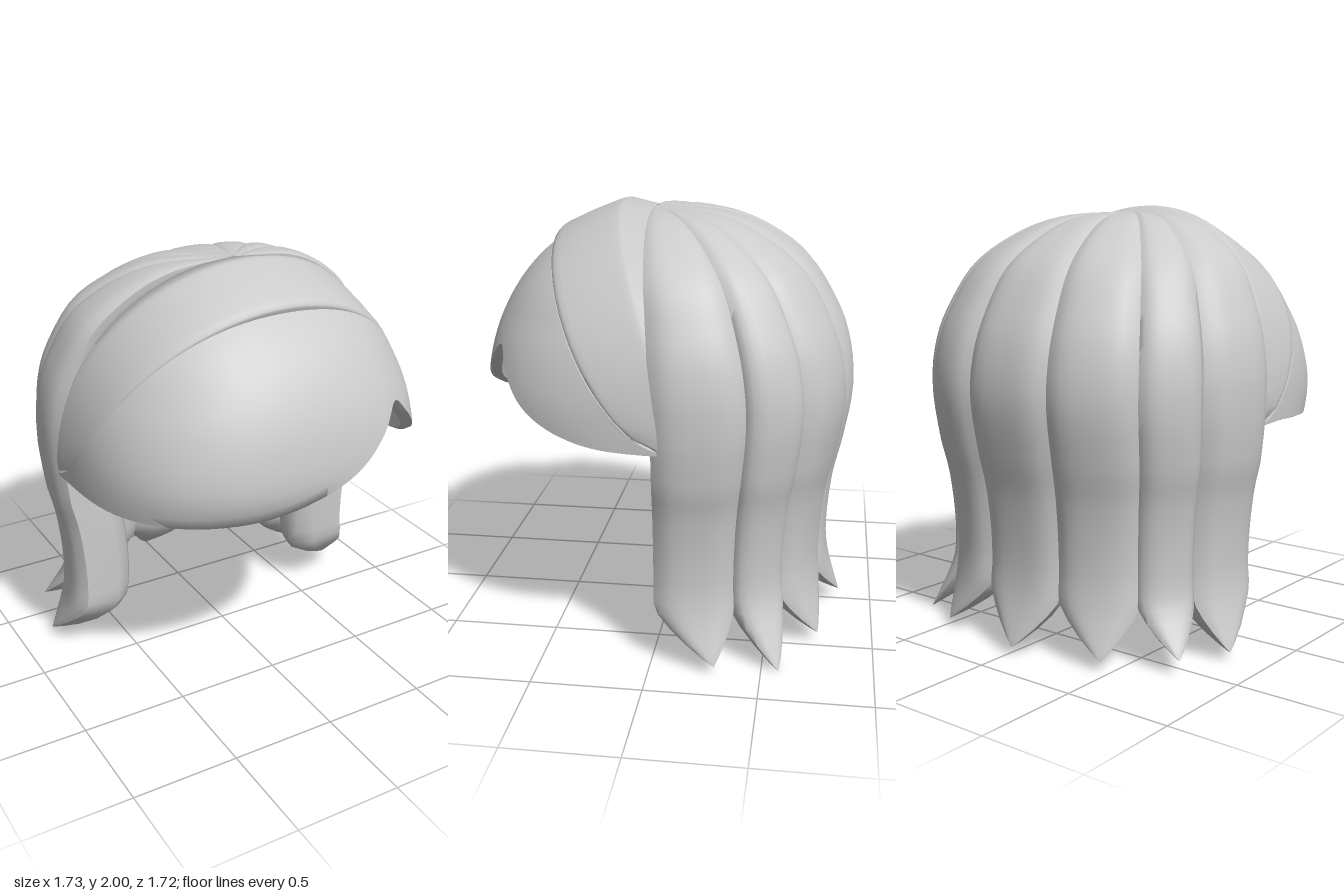
import * as THREE from 'three';
import { toCreasedNormals } from 'three/addons/utils/BufferGeometryUtils.js';

const material = new THREE.MeshStandardMaterial({ color: 0xcccccc, side: THREE.DoubleSide });
const rad = THREE.MathUtils.degToRad;
const clamp = THREE.MathUtils.clamp;
const centre = new THREE.Vector3(0, 1.1, 0);
const fromCentre = (p, s) => p.clone().sub(centre).multiplyScalar(s).add(centre);

// Closed solid skinned over a row of closed cross-sections
function loft(name, rings, crease) {
  const n = rings[0].length, pts = rings.flat(), index = [];
  for (let i = 0; i < rings.length - 1; i++) {
    for (let j = 0; j < n; j++) {
      const a = i * n + j, b = i * n + (j + 1) % n;
      index.push(a, b, b + n, a, b + n, a + n);
    }
  }
  const last = (rings.length - 1) * n;
  for (let j = 1; j < n - 1; j++) index.push(0, j + 1, j, last, last + j, last + j + 1);
  // Turn the faces outward if the enclosed volume is negative
  let volume = 0;
  const cross = new THREE.Vector3();
  for (let k = 0; k < index.length; k += 3) {
    volume += pts[index[k]].dot(cross.crossVectors(pts[index[k + 1]], pts[index[k + 2]]));
  }
  if (volume < 0) index.reverse();
  const geometry = new THREE.BufferGeometry().setFromPoints(pts);
  geometry.setIndex(index);
  const mesh = new THREE.Mesh(toCreasedNormals(geometry, crease), material);
  mesh.name = name;
  return mesh;
}

// Front and back edges of the swept band, a = angle from the crown
function bandFront(a) {
  const u = Math.max(0, Math.cos(a)) ** 0.9;
  return new THREE.Vector3(0.835 * Math.sin(a), 1.02 + 0.82 * u, -0.1 + 0.63 * u ** 0.55);
}
function bandBack(a) {
  const u = Math.max(0, Math.cos(a)) ** 0.85;
  return new THREE.Vector3(0.845 * Math.sin(a), 1.02 + 0.975 * u, -0.12 + 0.34 * u ** 1.3);
}

function makeBand() {
  const rings = [];
  for (let i = 0; i <= 48; i++) {
    const a = rad(-90 + 180 * i / 48), front = bandFront(a), back = bandBack(a);
    const swell = 0.2 + 0.8 * Math.cos(a);
    const across = (t, s) => fromCentre(front.clone().lerp(back, t), 1 + s * swell);
    // Back wall slopes gently down to the locks
    const slope = across(1, -0.035), under = across(1, -0.14);
    slope.z -= 0.05 + 0.08 * Math.cos(a);
    under.z -= 0.05 + 0.1 * Math.cos(a);
    rings.push([
      across(0, -0.08), across(0, 0.002), across(0.02, 0.014), across(0.07, 0.021),
      across(0.15, 0.025), across(0.5, 0.022), across(0.88, 0.01), across(0.96, 0.005),
      back, slope, under,
    ]);
  }
  return loft('sweptBand', rings, 1.1);
}

// Push a point onto the rounded head shape, squarer toward the hem
function onHead(p) {
  const d = p.clone().sub(centre);
  const e = 2.3 + 0.25 * clamp((1.5 - p.y) / 0.3, 0, 1);
  const f = Math.abs(d.x / 0.84) ** e + Math.abs(d.y / 0.86) ** 2.2 + Math.abs(d.z / 0.86) ** e;
  d.multiplyScalar(f ** (-1 / e)).add(centre);
  d.z *= 1 - 0.05 * clamp((1.17 - d.y) / 0.15, 0, 1) ** 2;
  return d;
}

function makeFringe() {
  // Lower hem: azimuth in degrees, height; notch on the left
  const hem = new THREE.SplineCurve([
    [-97, 1.02], [-80, 1.03], [-60, 1.02], [-28, 1.02], [-14, 1.03], [0, 1.08], [14, 1.17],
    [25, 1.285], [34, 1.39], [41, 1.3], [51, 1.17], [62, 1.085], [76, 1.035], [97, 1.02],
  ].map(([x, y]) => new THREE.Vector2(x, y)));
  const rings = [], rows = 14;
  for (let i = 0; i <= 78; i++) {
    const { x: deg, y } = hem.getPoint(i / 78), phi = rad(deg);
    const top = bandFront(phi * 90 / 97);
    const low = new THREE.Vector3(0.84 * Math.sin(phi), y, 0.85 * Math.cos(phi));
    const outer = [], inner = [];
    for (let j = 0; j <= rows; j++) {
      const p = onHead(top.clone().lerp(low, j / rows));
      outer.push(p);
      inner.unshift(fromCentre(p, 0.94));
    }
    // Rounded lip along the hem
    const lip = fromCentre(outer[rows], 0.97);
    lip.y -= 0.012;
    rings.push([...outer, lip, ...inner]);
  }
  return loft('fringe', rings, 1.0);
}

// Side profile shared by the locks: distance from the axis, height
const profile = new THREE.SplineCurve([
  [0.02, 1.965], [0.28, 1.95], [0.48, 1.885], [0.68, 1.74], [0.79, 1.55], [0.85, 1.37],
  [0.868, 1.15], [0.83, 0.9], [0.787, 0.7], [0.765, 0.45], [0.78, 0.25], [0.86, 0],
].map(([x, y]) => new THREE.Vector2(x, y)));

// Thick tapering lock; angles are measured from straight back
function makeLock(name, angle, half, depthMax, tipAngle, tipY, tipR) {
  const rings = [], rows = 44;
  for (let i = 0; i <= rows; i++) {
    const t = i / rows, p = profile.getPoint(t), tan = profile.getTangent(t);
    const tip = clamp((0.28 - p.y) / 0.28, 0, 1);
    const width = half * 1.05 * (1 - tip ** 1.15);
    const mid = angle + (tipAngle - angle) * tip;
    const thick = depthMax * Math.min(1, 0.4 + t * 1.5) * (1 - tip);
    const shiftZ = 0.09 * Math.max(0, p.y - 1) ** 2;
    const y = p.y + tipY * tip;
    const r = p.x + (tipR - 0.86) * tip;
    const wide = 1 + 0.03 * clamp((1.15 - y) / 0.3, 0, 1);
    const place = (u, depth) => {
      const th = rad(mid + u * width), s = Math.sin(th), c = Math.cos(th);
      const square = (Math.abs(s) ** 2.4 + Math.abs(c) ** 2.4) ** (-1 / 2.4);
      // Step inward along the profile normal
      const rr = Math.max(0.005, r + tan.y * depth) * square;
      return new THREE.Vector3(rr * s * wide, y - tan.x * depth, shiftZ - rr * c);
    };
    const ring = [];
    const bulge = 0.045 * Math.min(1, t * 2.5) * (1 - tip);
    for (let j = -5; j <= 5; j++) ring.push(place(j / 5, bulge * Math.abs(j / 5) ** 4));
    for (let j = 2; j >= -2; j--) ring.push(place(j * 0.47, thick * (1 - 0.3 * (j / 2) ** 2)));
    rings.push(ring);
  }
  return loft(name, rings, 0.9);
}

export function createModel() {
  const group = new THREE.Group();
  group.name = 'hair';
  group.add(makeFringe(), makeBand());
  const locks = new THREE.Group();
  locks.name = 'backLocks';
  locks.add(makeLock('centreLock', 0, 15.5, 0.19, -2, 0.04, 0.84));
  for (const [side, s] of [['left', 1], ['right', -1]]) {
    locks.add(
      makeLock(side + 'BackLock', s * 29, 13.5, 0.19, s * 31, 0.045, 0.83),
      makeLock(side + 'CornerLock', s * 51.5, 9.5, 0.21, s * 52, s > 0 ? 0 : 0.07, 0.89),
      makeLock(side + 'SideLock', s * 75, 13.4, 0.3, s * 70, 0.04, 0.84),
    );
  }
  group.add(locks);
  return group;
}
